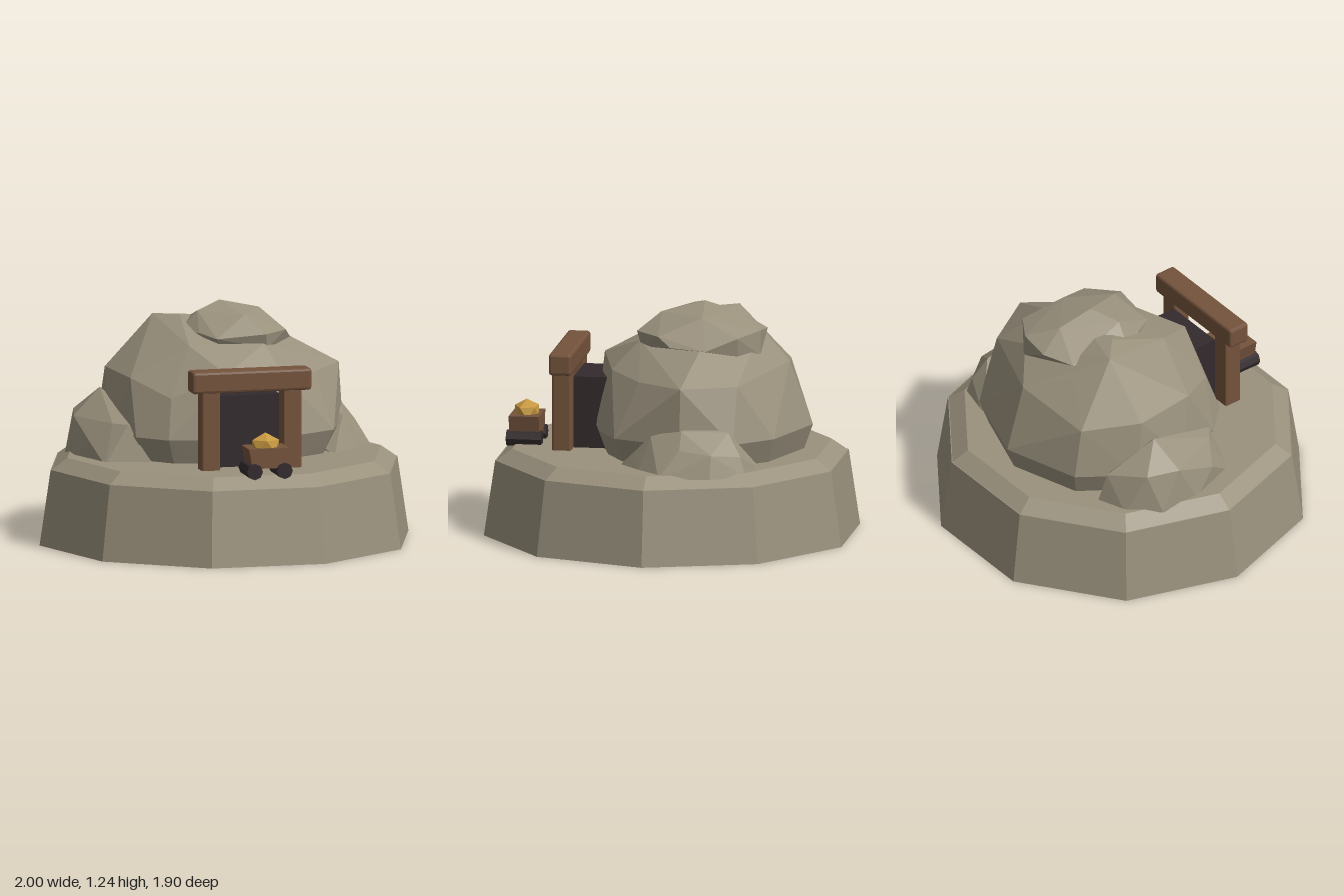
import * as THREE from 'three';
import { ConvexGeometry } from 'three/addons/geometries/ConvexGeometry.js';
import { RoundedBoxGeometry } from 'three/addons/geometries/RoundedBoxGeometry.js';

const mat = (name, color) => {
  const m = new THREE.MeshStandardMaterial({ color, flatShading: true });
  m.name = name;
  return m;
};

export function createModel() {
  const group = new THREE.Group();
  const stone = mat('stone', 0x9a917d);
  const wood = mat('wood', 0x74533c);
  const dark = mat('dark', 0x332a2c);
  const gold = mat('gold', 0xc6983f);

  const add = (name, geometry, material, x = 0, y = 0, z = 0) => {
    const mesh = new THREE.Mesh(geometry, material);
    mesh.name = name;
    mesh.position.set(x, y, z);
    group.add(mesh);
    return mesh;
  };
  const hull = (name, points) =>
    add(name, new ConvexGeometry(points.map(p => new THREE.Vector3(...p))), stone);

  // Ten-sided plinth: tapered wall and bevelled top
  const decagon = (name, top, bottom, y0, y1) =>
    add(name, new THREE.CylinderGeometry(top, bottom, y1 - y0, 10, 1, false, Math.PI / 10),
      stone, 0, (y0 + y1) / 2, 0);
  decagon('plinthWall', 0.94, 1, 0, 0.4);
  decagon('plinthBevel', 0.85, 0.935, 0.4, 0.46);

  // Main boulder: widest ring [x, z], tucked in at the ground
  const ring = [
    [-0.39, 0.36], [-0.18, 0.4], [0.2, 0.37], [0.35, 0.33], [0.54, 0.22], [0.68, -0.15], [0.6, -0.42],
    [0.42, -0.61], [0, -0.75], [-0.41, -0.62], [-0.6, -0.35], [-0.6, -0.05], [-0.53, 0.21],
  ];
  hull('mainBoulder', [
    ...ring.map(([x, z]) => [x, 0.59, z]),
    ...ring.map(([x, z]) => [x * 0.88, 0.43, -0.18 + (z + 0.18) * 0.9]),
    [-0.52, 0.88, 0.05], [-0.57, 0.89, -0.3], [-0.36, 0.8, 0.29], [-0.08, 0.93, 0.37],
    [0.25, 0.9, 0.28], [0.46, 0.88, 0.1], [0.66, 0.89, -0.15], [0.5, 0.88, -0.43],
    [0.02, 0.93, -0.63], [-0.4, 0.86, -0.57],
    [-0.22, 1.05, 0.12], [0.18, 1.05, 0.14], [-0.2, 1.04, -0.46], [0.22, 1.02, -0.46],
    [-0.31, 1.16, -0.31], [-0.19, 1.17, -0.2], [0.1, 1.15, -0.2], [0.33, 1.07, -0.22],
  ]);

  // Boulder cap
  hull('topBoulder', [
    [0.02, 1.24, -0.18], [0.24, 1.19, -0.2], [0.1, 1.19, 0.04], [-0.12, 1.2, -0.1], [0.04, 1.19, -0.37],
    [-0.23, 1.08, -0.12], [-0.14, 1.1, 0.02], [-0.07, 1.08, 0.13], [0.19, 1.1, 0.155], [0.33, 1.1, 0.02],
    [0.37, 1.05, -0.05], [0.39, 1.04, -0.24], [0.32, 1.1, -0.4], [0.17, 1.12, -0.5], [0, 1.1, -0.51],
    [-0.15, 1.08, -0.43], [0.18, 0.99, -0.5], [0.3, 1, -0.4], [0.2, 1.02, 0.13], [-0.05, 1.02, 0.1],
  ]);

  // Side boulders
  hull('leftBoulder', [
    [0.62, 0.69, -0.2], [0.68, 0.67, -0.16], [0.62, 0.66, -0.4], [0.64, 0.63, 0.01], [0.75, 0.58, -0.16],
    [0.76, 0.56, -0.33], [0.6, 0.54, 0.1], [0.66, 0.54, -0.47], [0.82, 0.44, -0.06], [0.8, 0.44, -0.33],
    [0.68, 0.44, -0.5], [0.47, 0.44, -0.55], [0.55, 0.44, 0.2], [0.7, 0.44, 0.07], [0.4, 0.6, -0.2],
  ]);
  hull('rightBoulder', [
    [-0.61, 0.79, -0.25], [-0.765, 0.65, -0.2], [-0.72, 0.66, -0.38], [-0.63, 0.65, 0.1], [-0.56, 0.65, 0.16],
    [-0.79, 0.44, -0.1], [-0.78, 0.44, -0.32], [-0.74, 0.55, 0.04], [-0.69, 0.44, 0.18], [-0.45, 0.44, 0.25],
    [-0.53, 0.62, -0.5], [-0.66, 0.44, -0.48], [-0.5, 0.44, -0.54], [-0.4, 0.6, -0.2],
  ]);

  // Tunnel mouth with timber frame
  add('tunnel', new THREE.BoxGeometry(0.35, 0.39, 0.3), dark, 0, 0.645, 0.345);
  for (const s of [-1, 1])
    add('framePost', new RoundedBoxGeometry(0.1, 0.44, 0.1, 1, 0.01), wood, s * 0.22, 0.67, 0.545);
  add('frameBeam', new RoundedBoxGeometry(0.645, 0.115, 0.12, 1, 0.014), wood, 0, 0.928, 0.545);

  // Ore cart: tub narrowing downward, two roller wheels, ore heap
  const tub = new THREE.BoxGeometry(0.22, 0.105, 0.16);
  const p = tub.attributes.position;
  for (let i = 0; i < p.count; i++)
    if (p.getY(i) < 0) p.setX(i, p.getX(i) * 0.82);
  add('cartTub', tub, wood, 0.03, 0.555, 0.767);
  for (const s of [-1, 1]) {
    const wheel = new THREE.CylinderGeometry(0.043, 0.043, 0.187, 8).rotateX(Math.PI / 2);
    add('cartWheel', wheel, dark, 0.03 + s * 0.081, 0.488, 0.767);
  }
  const ore = new THREE.IcosahedronGeometry(0.084, 0).rotateZ(0.55).rotateY(0.2).scale(1, 0.8, 0.88);
  add('oreHeap', ore, gold, 0.028, 0.615, 0.767);

  return group;
}
